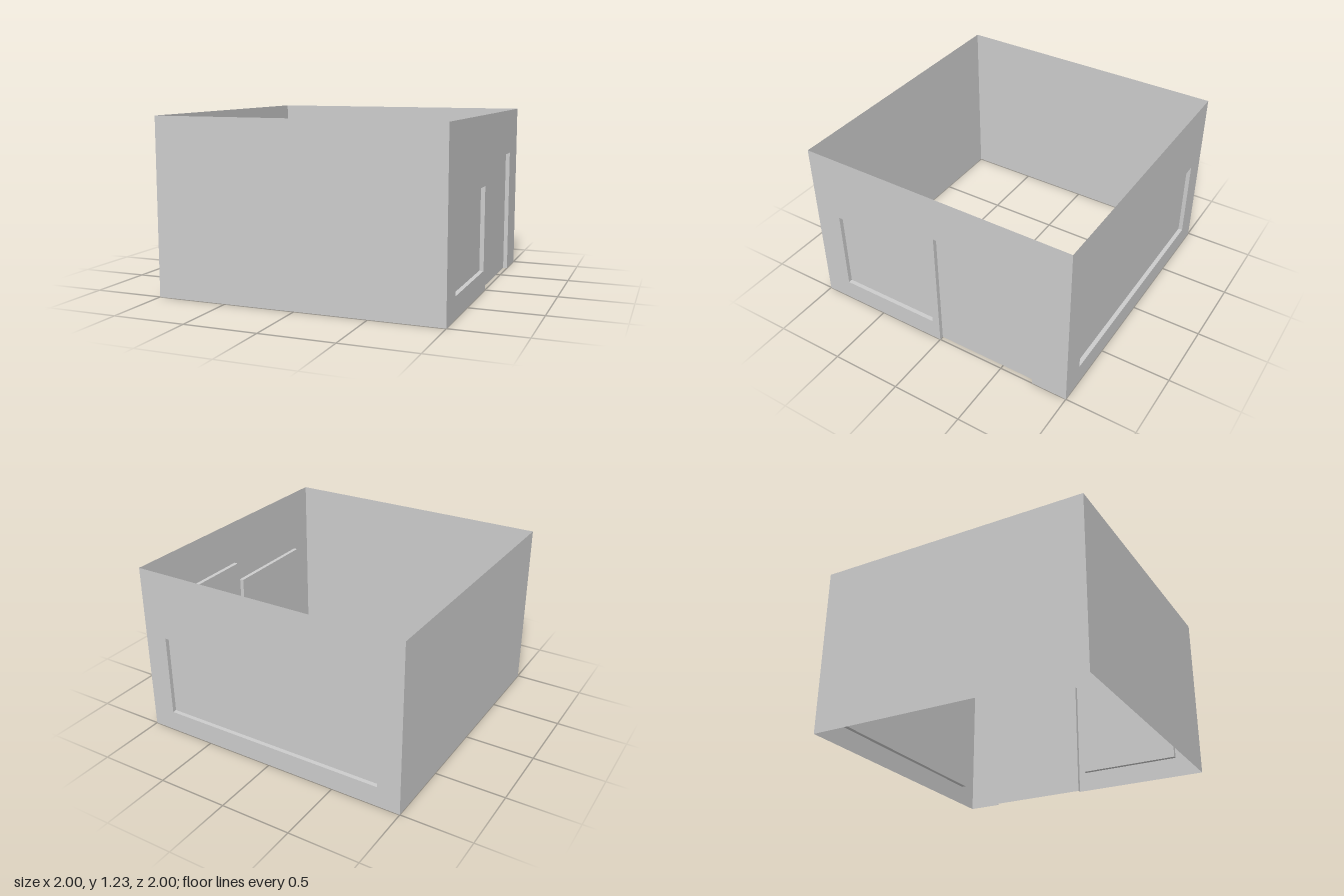
import * as THREE from 'three';

const HEIGHT = 1.225, DEPTH = 0.03;
const material = new THREE.MeshStandardMaterial({ color: 0xcccccc, side: THREE.DoubleSide, flatShading: true });

function plane(parent, name, w, h, x, y, z, rx = 0, ry = 0) {
  const mesh = new THREE.Mesh(new THREE.PlaneGeometry(w, h), material);
  mesh.name = name;
  mesh.position.set(x, y, z);
  mesh.rotation.set(rx, ry, 0);
  parent.add(mesh);
}

// Thin panel set back behind an opening, with the reveals around it
function recess(name, { u0, u1, y0, y1 }) {
  const group = new THREE.Group();
  group.name = name;
  const w = u1 - u0, h = y1 - y0, u = (u0 + u1) / 2, y = (y0 + y1) / 2, z = -DEPTH / 2;
  plane(group, name + 'Panel', w, h, u, y, -DEPTH);
  plane(group, name + 'JambStart', DEPTH, h, u0, y, z, 0, Math.PI / 2);
  plane(group, name + 'JambEnd', DEPTH, h, u1, y, z, 0, -Math.PI / 2);
  plane(group, name + 'Lintel', w, DEPTH, u, y1, z, Math.PI / 2);
  if (y0 > 0) plane(group, name + 'Sill', w, DEPTH, u, y0, z, -Math.PI / 2);
  return group;
}

// Wall sheet facing outwards; a door notches its lower edge, a window is a hole
function wall(name, turn, { door, window } = {}) {
  const group = new THREE.Group();
  group.name = name;
  const outline = [[-1, 0]];
  if (door) outline.push([door.u0, 0], [door.u0, door.y1], [door.u1, door.y1], [door.u1, 0]);
  outline.push([1, 0], [1, HEIGHT], [-1, HEIGHT]);
  const shape = new THREE.Shape(outline.map(([x, y]) => new THREE.Vector2(x, y)));
  if (window) {
    const { u0, u1, y0, y1 } = window;
    shape.holes.push(new THREE.Path([[u0, y0], [u0, y1], [u1, y1], [u1, y0]].map(([x, y]) => new THREE.Vector2(x, y))));
    group.add(recess('window', window));
  }
  if (door) group.add(recess('door', door));
  const sheet = new THREE.Mesh(new THREE.ShapeGeometry(shape), material);
  sheet.name = name + 'Sheet';
  group.add(sheet);
  group.rotation.y = turn;
  group.position.set(Math.sin(turn), 0, Math.cos(turn));
  return group;
}

export function createModel() {
  const model = new THREE.Group();
  model.name = 'room';
  model.add(
    wall('frontWall', 0),
    wall('leftWall', Math.PI / 2, {
      window: { u0: -0.805, u1: -0.056, y0: 0.148, y1: 0.74 },
      door: { u0: 0, u1: 0.746, y0: 0, y1: 0.9 },
    }),
    wall('backWall', Math.PI, { window: { u0: -0.83, u1: 0.835, y0: 0.148, y1: 0.74 } }),
    wall('rightWall', -Math.PI / 2),
  );
  return model;
}
